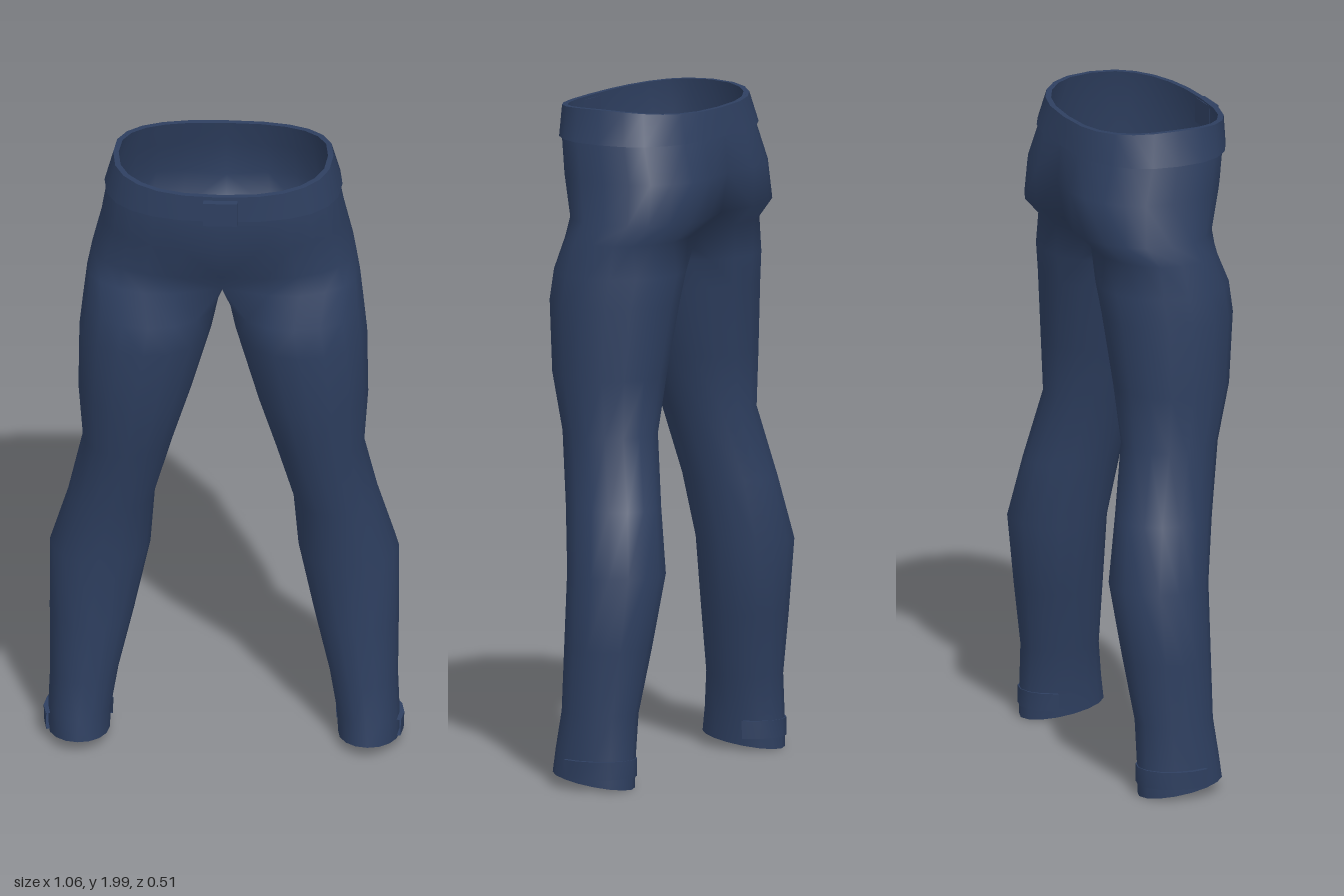
import * as THREE from 'three';
import { mergeGeometries, mergeVertices, toCreasedNormals } from 'three/addons/utils/BufferGeometryUtils.js';

const OUTER = 13; // points on the outer arc, from front middle round to back middle
const FULL = 16;  // points on a complete leg ring

const material = new THREE.MeshStandardMaterial({ color: 0x2e3f60, roughness: 0.9, side: THREE.DoubleSide });

// Leg rings, bottom to top: y, inner x, outer x, front z, back z, tilt of the ring
const LEG = [
  [0.01, 0.335, 0.515, 0.10, -0.16, 0.15],
  [0.10, 0.33, 0.515, 0.09, -0.16, 0.08],
  [0.23, 0.31, 0.51, 0.075, -0.16, 0],
  [0.42, 0.265, 0.512, 0.075, -0.188, 0],
  [0.64, 0.217, 0.512, 0.075, -0.217, 0],
  [0.83, 0.203, 0.457, 0.105, -0.185, 0],
  [1.04, 0.147, 0.413, 0.145, -0.142, 0],
  [1.21, 0.095, 0.425, 0.187, -0.155, 0],
  [1.42, 0.035, 0.422, 0.21, -0.175, 0],
  [1.51, 0.015, 0.412, 0.203, -0.187, 0],
];

// Pelvis rings, bottom to top: y, half width, front z, back z, front z and back z on the middle line, dip
const PELVIS = [
  [1.61, 0.40, 0.19, -0.205, 0.13, -0.13, 0],
  [1.67, 0.386, 0.185, -0.262, 0.17, -0.21, 0],
  [1.79, 0.358, 0.222, -0.264, 0.222, -0.232, 0],
  [1.90, 0.341, 0.236, -0.228, 0.236, -0.222, 0],
  [2.00, 0.315, 0.235, -0.205, 0.235, -0.205, 0.018],
];

const power = (v, p) => Math.sign(v) * Math.abs(v) ** p;

function legRing([y, xi, xo, zf, zb, tilt], growX = 0, growZ = 0) {
  const ring = [];
  for (let i = 0; i < FULL; i++) {
    const a = -Math.PI / 4 + (i / FULL) * Math.PI * 2;
    const x = (xi + xo) / 2 + ((xo - xi) / 2 + growX) * Math.sin(a);
    const z = (zf + zb) / 2 + ((zf - zb) / 2 + growZ) * Math.cos(a);
    ring.push([x, y + tilt * (z - zb), z]);
  }
  return ring;
}

function pelvisRing([y, hw, zf, zb, midF, midB, dip], grow = 0) {
  const ring = [];
  for (let i = 0; i < OUTER; i++) {
    const a = (i / (OUTER - 1)) * Math.PI;
    const c = power(Math.cos(a), 0.8);
    const pinch = [1, 0.3][Math.min(i, OUTER - 1 - i)] ?? 0;
    const x = i % (OUTER - 1) ? (hw + grow) * power(Math.sin(a), 0.8) : 0;
    let z = (zf + zb) / 2 + ((zf - zb) / 2 + grow) * c;
    z += pinch * (c > 0 ? midF - zf : midB - zb);
    ring.push([x, y - dip * c * c, z]);
  }
  return ring;
}

// Skin through a list of equal rings
function loft(rings, closed) {
  const n = rings[0].length, index = [];
  for (let j = 0; j < rings.length - 1; j++) {
    for (let i = 0; i < (closed ? n : n - 1); i++) {
      const k = (i + 1) % n;
      const a = j * n + i, b = j * n + k, c = a + n, d = b + n;
      index.push(a, b, d, a, d, c);
    }
  }
  const g = new THREE.BufferGeometry();
  g.setAttribute('position', new THREE.Float32BufferAttribute(rings.flat(2), 3));
  g.setIndex(index);
  return g;
}

// Copy across x = 0 with the faces turned back outward
function mirrored(g) {
  const m = g.clone().scale(-1, 1, 1);
  const ix = m.index.array;
  for (let i = 0; i < ix.length; i += 3) [ix[i + 1], ix[i + 2]] = [ix[i + 2], ix[i + 1]];
  return m;
}

function weld(parts) {
  const g = mergeVertices(mergeGeometries(parts), 1e-4);
  g.computeVertexNormals();
  return g;
}

function addMesh(group, name, geometry) {
  const mesh = new THREE.Mesh(geometry, material);
  mesh.name = name;
  group.add(mesh);
  return mesh;
}

export function createModel() {
  const group = new THREE.Group();
  group.name = 'trousers';

  // Crotch ring: pelvis outline closed by a seam under the body
  const seam = [[0, 1.575, -0.07], [0, 1.565, 0], [0, 1.575, 0.07]];
  const crotch = [...pelvisRing(PELVIS[0]), ...seam];
  const leg = loft([...LEG.map((r) => legRing(r)), crotch], true);
  const pelvis = loft(PELVIS.map((r) => pelvisRing(r)), false);
  addMesh(group, 'trouserBody', weld([leg, mirrored(leg), pelvis, mirrored(pelvis)]));

  // Waistband: a thin belt folded over the top edge
  const [low, top] = PELVIS.slice(-2);
  const belt = loft([
    pelvisRing(low, 0), pelvisRing(low, 0.008), pelvisRing(top, 0.008), pelvisRing(top, -0.008),
  ], false);
  addMesh(group, 'waistband', toCreasedNormals(weld([belt, mirrored(belt)]), 0.7));

  // Belt buckle
  const buckle = addMesh(group, 'buckle', new THREE.BoxGeometry(0.1, 0.075, 0.03));
  buckle.position.set(0, 1.933, 0.247);

  // Ankle straps round the sides and back of each hem
  const strapRow = (y) => [y, 0.332, 0.515, 0.095, -0.16, 0];
  const arc = (y, gx, gz) => {
    const r = legRing(strapRow(y), gx, gz);
    return r.slice(5, 14); // from the outer side, round the back, to the inner side
  };
  const strap = loft([
    arc(0.045, 0, 0), arc(0.045, 0.012, 0.003), arc(0.098, 0.014, 0.003), arc(0.098, 0, 0),
  ], false);
  addMesh(group, 'leftAnkleStrap', toCreasedNormals(weld([strap]), 0.7));
  addMesh(group, 'rightAnkleStrap', toCreasedNormals(weld([mirrored(strap)]), 0.7));

  return group;
}
